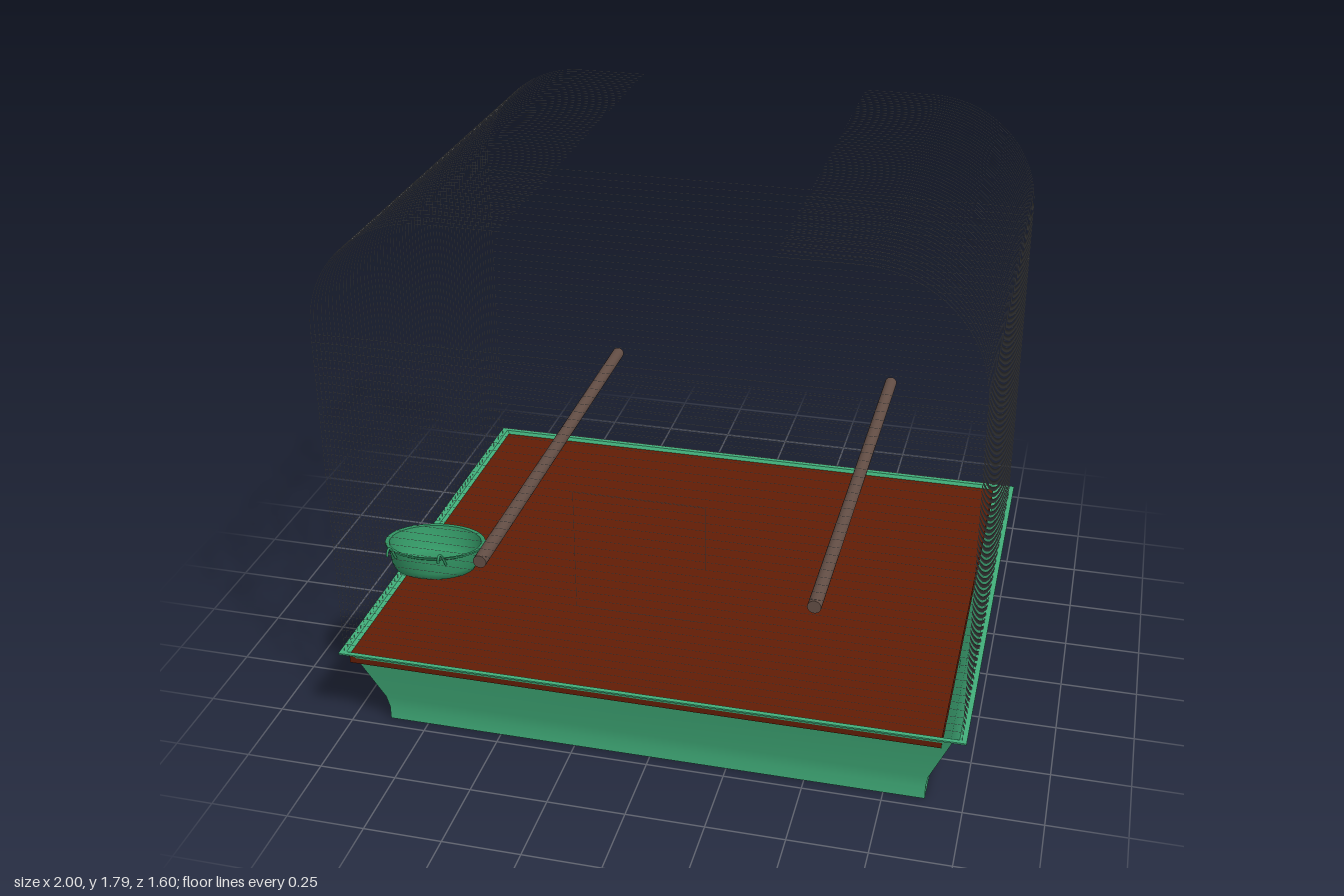
import * as THREE from 'three';
import { toCreasedNormals } from 'three/addons/utils/BufferGeometryUtils.js';

const paint = (name, color, side = THREE.FrontSide) => {
  const m = new THREE.MeshStandardMaterial({ color, side });
  m.name = name;
  return m;
};

const WIRE = 0.0005; // wire radius
const PITCH = 0.0265; // wire spacing
const SIDES = 16; // wire sides

// Closed shell from rectangular rings [halfX, halfZ, y], outside going up, inside going down
function rectShell(rings) {
  const corners = [[1, 1], [1, -1], [-1, -1], [-1, 1]];
  const at = ([hx, hz, y], j) => [corners[j % 4][0] * hx, y, corners[j % 4][1] * hz];
  const pos = [];
  for (let i = 0; i < rings.length - 1; i++) {
    for (let j = 0; j < 4; j++) {
      const a = at(rings[i], j), b = at(rings[i], j + 1);
      const c = at(rings[i + 1], j + 1), d = at(rings[i + 1], j);
      if (rings[i][0] > 0) pos.push(...a, ...b, ...c);
      if (rings[i + 1][0] > 0) pos.push(...a, ...c, ...d);
    }
  }
  const g = new THREE.BufferGeometry();
  g.setAttribute('position', new THREE.Float32BufferAttribute(pos, 3));
  return toCreasedNormals(g, 0.6);
}

const rod = (length) => new THREE.CylinderGeometry(WIRE, WIRE, length, SIDES, 1, true);
const levelRod = (length) => rod(length).rotateZ(Math.PI / 2);

export function createModel() {
  const model = new THREE.Group();
  model.name = 'birdCage';

  const green = paint('tray green', 0x41ae7a);
  const darkGreen = paint('bowl green', 0x329463, THREE.DoubleSide);
  const brown = paint('floor brown', 0x611c05);
  const wood = paint('perch wood', 0x624d44);
  const metal = paint('wire grey', 0xa0a0a0);

  const add = (parent, name, geo, mat, x = 0, y = 0, z = 0) => {
    const m = new THREE.Mesh(geo, mat);
    m.name = name;
    m.position.set(x, y, z);
    parent.add(m);
    return m;
  };
  const group = (name) => {
    const g = new THREE.Group();
    g.name = name;
    model.add(g);
    return g;
  };

  // Flared tray with a narrow flat lip
  add(model, 'tray', rectShell([
    [0, 0, 0], [0.88, 0.71, 0], [0.88, 0.71, 0.045], [0.887, 0.718, 0.09],
    [0.962, 0.78, 0.289], [1, 0.8, 0.291], [1, 0.8, 0.296], [0.978, 0.785, 0.296],
    [0.95, 0.768, 0.27], [0.878, 0.708, 0.09], [0.87, 0.70, 0.01], [0, 0, 0.01],
  ]), green);

  // Floor panel, pushed towards one side and just cutting through the tray walls
  add(model, 'floorPanel', new THREE.BoxGeometry(1.9, 0.04, 1.546), brown, -0.025, 0.267, 0);

  // Two perches running front to back
  const perchGeo = new THREE.CylinderGeometry(0.021, 0.021, 1.535, 24).rotateX(Math.PI / 2);
  add(model, 'perchRight', perchGeo, wood, -0.505, 0.702, 0.02);
  add(model, 'perchLeft', perchGeo, wood, 0.528, 0.697, 0.02);

  // Tilted feeding bowl
  const bowl = group('feedingBowl');
  bowl.position.set(-0.718, 0.64, 0.614);
  bowl.rotation.x = -0.19;
  const profile = [[0, -0.085], [0.105, -0.085], [0.127, -0.076], [0.137, -0.055],
    [0.147, -0.005], [0.157, 0], [0.157, 0.005], [0.144, 0.003], [0.133, -0.055],
    [0.122, -0.072], [0.1, -0.079], [0, -0.079]].map(([x, y]) => new THREE.Vector2(x, y));
  add(bowl, 'bowl', toCreasedNormals(new THREE.LatheGeometry(profile, 32), 0.9), darkGreen);

  // Hooks holding the bowl on the front wires
  const hookPath = new THREE.CatmullRomCurve3([
    [0, 0.645, 0.74], [0, 0.67, 0.755], [0, 0.695, 0.772],
    [0, 0.705, 0.785], [0, 0.7, 0.797], [0, 0.685, 0.8],
  ].map((p) => new THREE.Vector3(...p)));
  const hookGeo = new THREE.TubeGeometry(hookPath, 16, 0.004, 12);
  for (const x of [-0.8, -0.635]) add(model, 'bowlHook', hookGeo, darkGreen, x);

  // Side wires: upright, quarter bend and a short run onto the open top
  const bars = group('sideWires');
  const R = 0.365, bendX = 0.62, bendY = 1.42, base = 0.28, topEnd = 0.39;
  const upright = rod(bendY - base);
  const bend = new THREE.TorusGeometry(R, WIRE, SIDES, 18, Math.PI / 2);
  const topRun = levelRod(bendX - topEnd);
  for (let i = 0; i < 59; i++) {
    for (const turn of [0, Math.PI]) {
      const wire = new THREE.Group();
      wire.name = 'archedWire';
      wire.rotation.y = turn;
      wire.position.z = 0.785 - i * PITCH;
      add(wire, 'upright', upright, metal, bendX + R, (bendY + base) / 2);
      add(wire, 'bend', bend, metal, bendX, bendY);
      add(wire, 'topRun', topRun, metal, (bendX + topEnd) / 2, bendY + R);
      bars.add(wire);
    }
  }

  // Level wires across the front and back
  const walls = group('frontAndBackWires');
  const level = levelRod(1.97);
  for (let i = 0; i < 42; i++) {
    for (const z of [0.783, -0.755]) add(walls, 'levelWire', level, metal, 0, 0.323 + i * PITCH, z);
  }

  // Door frame in the front wall
  const door = group('doorFrame');
  const post = rod(0.395);
  const rail = levelRod(0.4);
  for (const s of [-1, 1]) {
    add(door, 'doorPost', post, metal, s * 0.2, 0.7875, 0.787);
    add(door, 'doorRail', rail, metal, 0, 0.7875 + s * 0.1975, 0.787);
  }

  return model;
}
